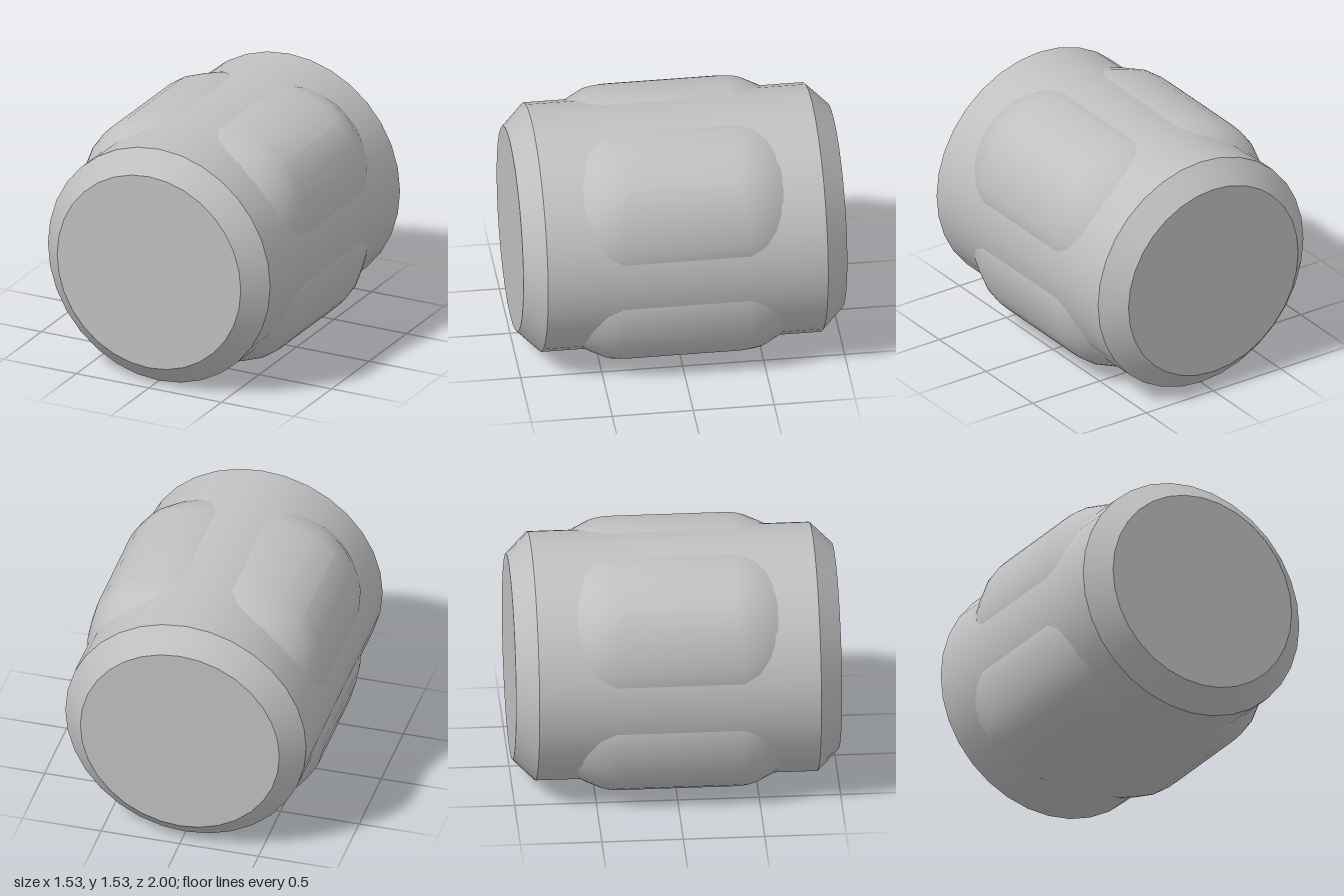
import * as THREE from 'three';

const R = 0.766;        // barrel radius
const CAP_R = 0.633;    // end face radius
const SHOULDER = 0.865; // z where the chamfer starts
const SIDES = 32;

// Raised pad: a dome turned around y, then pulled apart along z into a pill
function padGeometry() {
  const profile = [
    [0.46, 0.58], [0.42, 0.64], [0.36, 0.707], [0.27, 0.768],
    [0.165, 0.827], [0.06, 0.85], [0, 0.853],
  ].map(([r, y]) => new THREE.Vector2(r, y));
  const segments = 24;
  const geo = new THREE.LatheGeometry(profile, segments, Math.PI / segments);
  const pos = geo.attributes.position;
  for (let i = 0; i < pos.count; i++) {
    // Sign by column, so the pole vertices are pulled apart too
    const column = Math.floor(i / profile.length);
    const phi = Math.PI / segments + (column * 2 * Math.PI) / segments;
    pos.setZ(i, pos.getZ(i) + 0.34 * Math.sign(Math.cos(phi)));
  }
  // Close the flat crest between the two separated poles
  const top = profile.length - 1;
  const half = segments / 2;
  const index = Array.from(geo.index.array);
  for (let c = 0; c < segments; c++) {
    const z0 = pos.getZ(c * profile.length + top);
    const z1 = pos.getZ((c + 1) * profile.length + top);
    if (z0 * z1 < 0) {
      const a = c * profile.length + top;
      const b = (c + 1) * profile.length + top;
      index.push(a - 1, b - 1, b, a - 1, b, a);
    }
  }
  geo.setIndex(index);
  return geo;
}

export function createModel() {
  const model = new THREE.Group();
  model.name = 'barrel';
  const grey = new THREE.MeshStandardMaterial({ color: 0xc0c0c0 });
  grey.name = 'grey';

  const add = (name, geo) => {
    const mesh = new THREE.Mesh(geo, grey);
    mesh.name = name;
    mesh.position.y = R;
    model.add(mesh);
    return mesh;
  };

  // Barrel wall along z
  add('barrelWall', new THREE.CylinderGeometry(R, R, 2 * SHOULDER, SIDES, 1, true).rotateX(Math.PI / 2));

  // Chamfered ends with flat faces
  for (const [side, turn] of [['front', 0], ['back', Math.PI]]) {
    const chamfer = new THREE.CylinderGeometry(CAP_R, R, 1 - SHOULDER, SIDES, 1, true);
    chamfer.translate(0, (1 + SHOULDER) / 2, 0).rotateX(Math.PI / 2);
    add(side + 'Chamfer', chamfer).rotation.y = turn;
    const face = new THREE.CircleGeometry(CAP_R, SIDES).translate(0, 0, 1);
    add(side + 'Face', face).rotation.y = turn;
  }

  // Four pads on the diagonals
  const pad = padGeometry();
  ['upperRightPad', 'lowerRightPad', 'lowerLeftPad', 'upperLeftPad'].forEach((name, i) => {
    add(name, pad).rotation.z = Math.PI / 4 + (i * Math.PI) / 2;
  });

  return model;
}
